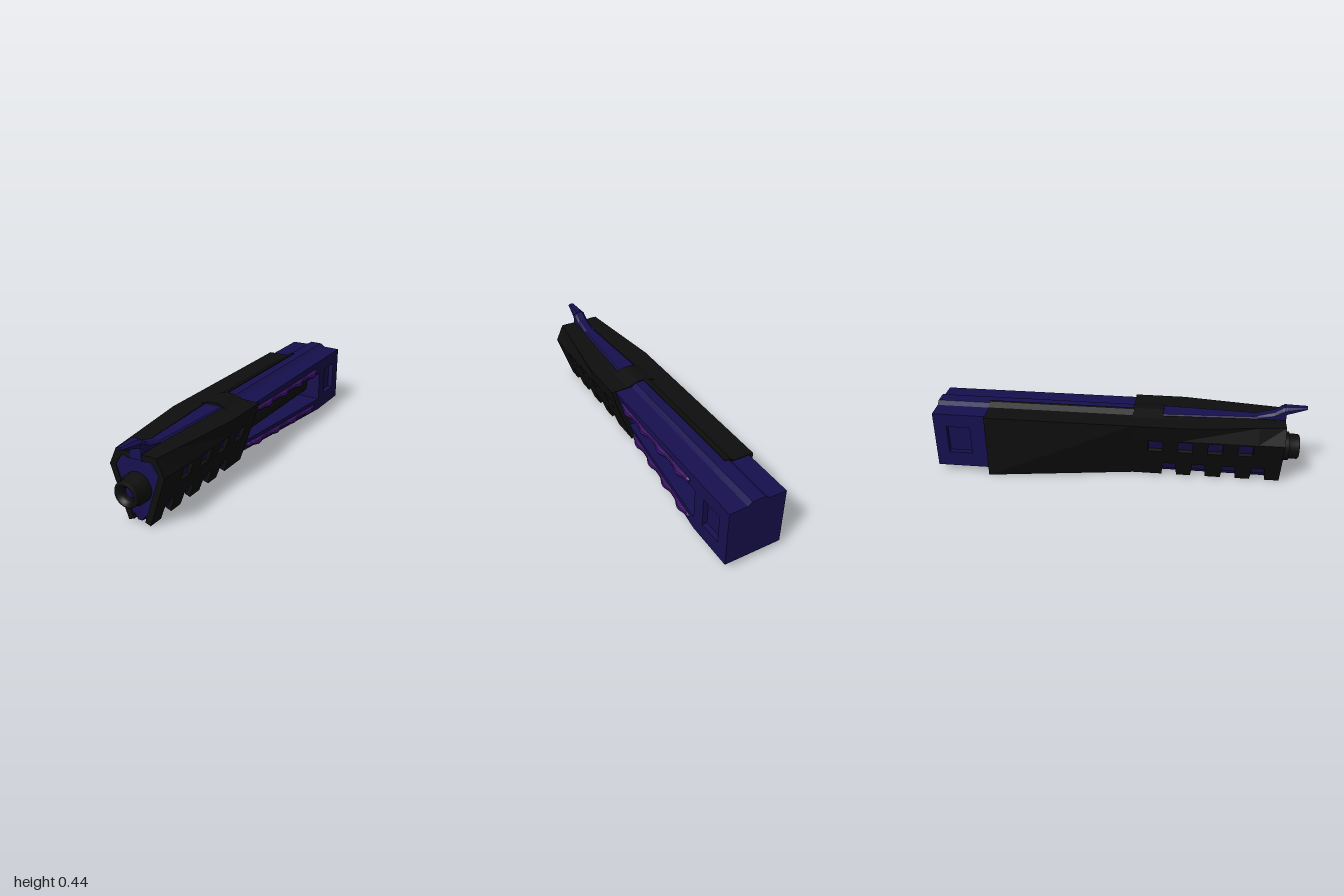
import * as THREE from 'three';

const mat = (color) => new THREE.MeshStandardMaterial({ color, side: THREE.DoubleSide });
const blue = mat(0x17104f), black = mat(0x0e0e0e), purple = mat(0x35105f);
const lerp = THREE.MathUtils.lerp;

// Flat-shaded skin through cross-sections [z, [[x, y], ...]], counter-clockwise, z rising
function loft(sections) {
  const pos = [];
  const put = (s, j) => pos.push(...s[1][j % s[1].length], s[0]);
  for (let i = 0; i < sections.length - 1; i++) {
    const p = sections[i], q = sections[i + 1];
    for (let j = 0; j < p[1].length; j++) {
      put(p, j); put(p, j + 1); put(q, j + 1);
      put(p, j); put(q, j + 1); put(q, j);
    }
  }
  const cap = (s, flip) => {
    const faces = THREE.ShapeUtils.triangulateShape(s[1].map(([x, y]) => new THREE.Vector2(x, y)), []);
    for (const f of faces) for (const j of flip ? [f[2], f[1], f[0]] : f) put(s, j);
  };
  cap(sections[0], true);
  cap(sections[sections.length - 1], false);
  const g = new THREE.BufferGeometry();
  g.setAttribute('position', new THREE.Float32BufferAttribute(pos, 3));
  g.computeVertexNormals();
  return g;
}

function add(parent, name, geometry, material) {
  const m = new THREE.Mesh(geometry, material);
  m.name = name;
  parent.add(m);
  return m;
}

// Completes a right half outline (bottom to top) with its mirror image
const both = (half) => [...half, ...half.slice().reverse().map(([x, y]) => [-x, y])];

// Body section: t = 0 slanted sides, t = 1 upright; optional channels cut into each side
function bodySection(t, y1, y2, floorR, floorL) {
  const side = (y) => lerp(0.055 + (y - 0.046) * 0.323, 0.158, t);
  const half = (floor) => [
    [side(0.044), 0.044], [side(y1), y1], [floor ?? side(y1), y1],
    [floor ?? side(y2), y2], [side(y2), y2], [0.158, 0.366],
    [0.06, 0.368], [0.035, 0.386],
  ];
  return [...half(floorR), ...half(floorL).reverse().map(([x, y]) => [-x, y])];
}

// Upper part of the shell, with its corner pulled in toward the front
function shellTop(z, tx, ty) {
  const cx = lerp(0.181, 0.115, THREE.MathUtils.clamp((z - 0.35) / 0.54, 0, 1));
  return [z, [
    [0.157, 0.28], [cx, 0.37], [0.085, 0.372], [tx + 0.02, ty], [tx, ty],
    [tx, ty - 0.035], [0.07, 0.342], [cx - 0.03, 0.342], [0.126, 0.28],
  ]];
}

// Sloping side plate with square windows and a notched lower edge
function shellPlate() {
  const s = new THREE.Shape();
  s.moveTo(0.08, 0);
  for (const z of [0.285, 0.445, 0.61, 0.77]) {
    s.lineTo(z - 0.041, 0); s.lineTo(z - 0.033, 0.096);
    s.lineTo(z + 0.033, 0.096); s.lineTo(z + 0.041, 0);
  }
  s.lineTo(0.89, 0); s.lineTo(0.89, 0.2875); s.lineTo(0.08, 0.2875);
  for (const z of [0.21, 0.37, 0.53, 0.69]) {
    const h = new THREE.Path();
    h.moveTo(z - 0.039, 0.193); h.lineTo(z - 0.039, 0.276);
    h.lineTo(z + 0.039, 0.276); h.lineTo(z + 0.039, 0.193);
    h.closePath();
    s.holes.push(h);
  }
  const g = new THREE.ExtrudeGeometry(s, { depth: 0.033, bevelEnabled: false });
  const up = new THREE.Vector3(0.093, 0.272, 0).normalize();
  const along = new THREE.Vector3(0, 0, 1);
  const m = new THREE.Matrix4().makeBasis(along, up, along.clone().cross(up));
  return g.applyMatrix4(m.setPosition(0.064, 0.008, 0));
}

// Scalloped strip following a straight line, four swellings long
function coil(x0, x1, y) {
  const sections = [];
  const n = 48;
  for (let i = 0; i <= n; i++) {
    const t = i / n;
    const wave = Math.pow(0.5 - 0.5 * Math.cos(t * Math.PI * 8), 2);
    const end = i === 0 || i === n ? 0.5 : 1;
    const rx = (0.014 + 0.016 * wave) * end, ry = (0.015 + 0.004 * wave) * end;
    const ring = [];
    for (let k = 0; k < 10; k++) {
      const a = k / 10 * Math.PI * 2;
      ring.push([lerp(x1, x0, t) + rx * Math.cos(a), y - 0.005 * wave + ry * Math.sin(a)]);
    }
    sections.push([lerp(-0.68, 0.03, t), ring]);
  }
  return loft(sections);
}

export function createModel() {
  const root = new THREE.Group();
  root.name = 'barrelAssembly';
  const g = new THREE.Group();
  g.name = 'barrelParts';
  g.position.x = -0.004;
  root.add(g);

  // Rear block with a pocket on each side
  add(g, 'rearEnd', loft([-1, -0.93].map((z) => [z, bodySection(1, 0.13, 0.29)])), blue);
  add(g, 'rearPockets', loft([-0.93, -0.8].map((z) => [z, bodySection(1, 0.13, 0.29, 0.13, 0.13)])), blue);
  add(g, 'rearCollar', loft([-0.8, -0.725].map((z) => [z, bodySection(1, 0.115, 0.285)])), blue);

  // Middle body with an open channel on the left side
  add(g, 'channelBody', loft([
    [-0.725, bodySection(1, 0.115, 0.285, 0.01)],
    [0.09, bodySection(0, 0.115, 0.285, 0.01)],
  ]), blue);

  // Front core
  const core = both([[0.056, 0.046], [0.134, 0.28], [0.107, 0.354]]);
  add(g, 'frontCore', loft([[0.08, core], [0.885, core]]), blue);

  // Keel below the core
  const keel = (z, y) => [z, both([[0.012, y], [0.018, y + 0.01], [0.032, 0.05]])];
  add(g, 'keel', loft([keel(0.02, 0.035), keel(0.1, 0.006), keel(0.8, 0.004), keel(0.885, 0.02)]), blue);

  // Rail in the top slot and the swept front fin
  const rail = (z, w) => [z, both([[w, 0.33], [w, 0.37], [w - 0.01, 0.379]])];
  add(g, 'topRail', loft([rail(0.23, 0.059), rail(0.75, 0.034), rail(0.88, 0.034)]), blue);
  const fin = (z, yb, ys, yt, w) => [z, both([[w, yb], [w, ys], [w * 0.55, yt]])];
  add(g, 'frontFin', loft([
    fin(0.73, 0.34, 0.37, 0.379, 0.033), fin(0.83, 0.34, 0.392, 0.407, 0.033),
    fin(0.87, 0.34, 0.417, 0.435, 0.033), fin(0.892, 0.34, 0.425, 0.442, 0.033),
  ]), blue);
  add(g, 'finTip', loft([fin(0.88, 0.4, 0.425, 0.442, 0.033), fin(1, 0.433, 0.437, 0.443, 0.017)]), blue);

  // Mirrored front shells
  for (const side of [1, -1]) {
    const shell = new THREE.Group();
    shell.name = side > 0 ? 'leftShell' : 'rightShell';
    shell.scale.x = side;
    g.add(shell);
    add(shell, 'shellPlate', shellPlate(), black);
    add(shell, 'shellBridge', loft([shellTop(0.08, 0, 0.392), shellTop(0.245, 0, 0.392)]), black);
    add(shell, 'shellTop', loft([
      shellTop(0.245, 0.058, 0.374), shellTop(0.35, 0.053, 0.374),
      shellTop(0.75, 0.034, 0.372), shellTop(0.89, 0.034, 0.37),
    ]), black);
    // Long rear panel on the right side only, turning upright toward the back
    if (side < 0) {
      const panel = (z, bx, ix, iy, cx) => [z, [
        [ix, iy], [bx, 0.008], [0.181, 0.37], [0.065, 0.372], [0.035, 0.392], [0.016, 0.392],
        [0.016, 0.355], [0.06, 0.342], [cx, 0.342],
      ]];
      add(shell, 'rearPanel', loft([
        panel(-0.71, 0.181, 0.148, 0.008, 0.148),
        panel(0.085, 0.064, 0.033, 0.019, 0.14),
      ]), black);
    }
  }

  // Inner tube and stepped muzzle
  const tube = add(g, 'innerTube', new THREE.CylinderGeometry(0.076, 0.076, 0.815, 40).rotateX(Math.PI / 2), black);
  tube.position.set(0, 0.198, -0.318);
  const profile = [[0.078, 0.87], [0.078, 0.925], [0.068, 0.925], [0.068, 0.973], [0.062, 0.98],
    [0.046, 0.98], [0.042, 0.965], [0.029, 0.96], [0.029, 0.9]];
  const muzzleGeo = new THREE.LatheGeometry(profile.map(([x, y]) => new THREE.Vector2(x, y)), 40);
  add(g, 'muzzle', muzzleGeo.rotateX(Math.PI / 2), black).position.y = 0.196;
  add(g, 'muzzleCore', new THREE.CircleGeometry(0.03, 32), blue).position.set(0, 0.196, 0.94);

  // Coils along the channel lips
  add(g, 'upperCoil', coil(0.146, 0.16, 0.316), purple);
  add(g, 'lowerCoil', coil(0.076, 0.15, 0.078), purple);
  return root;
}
